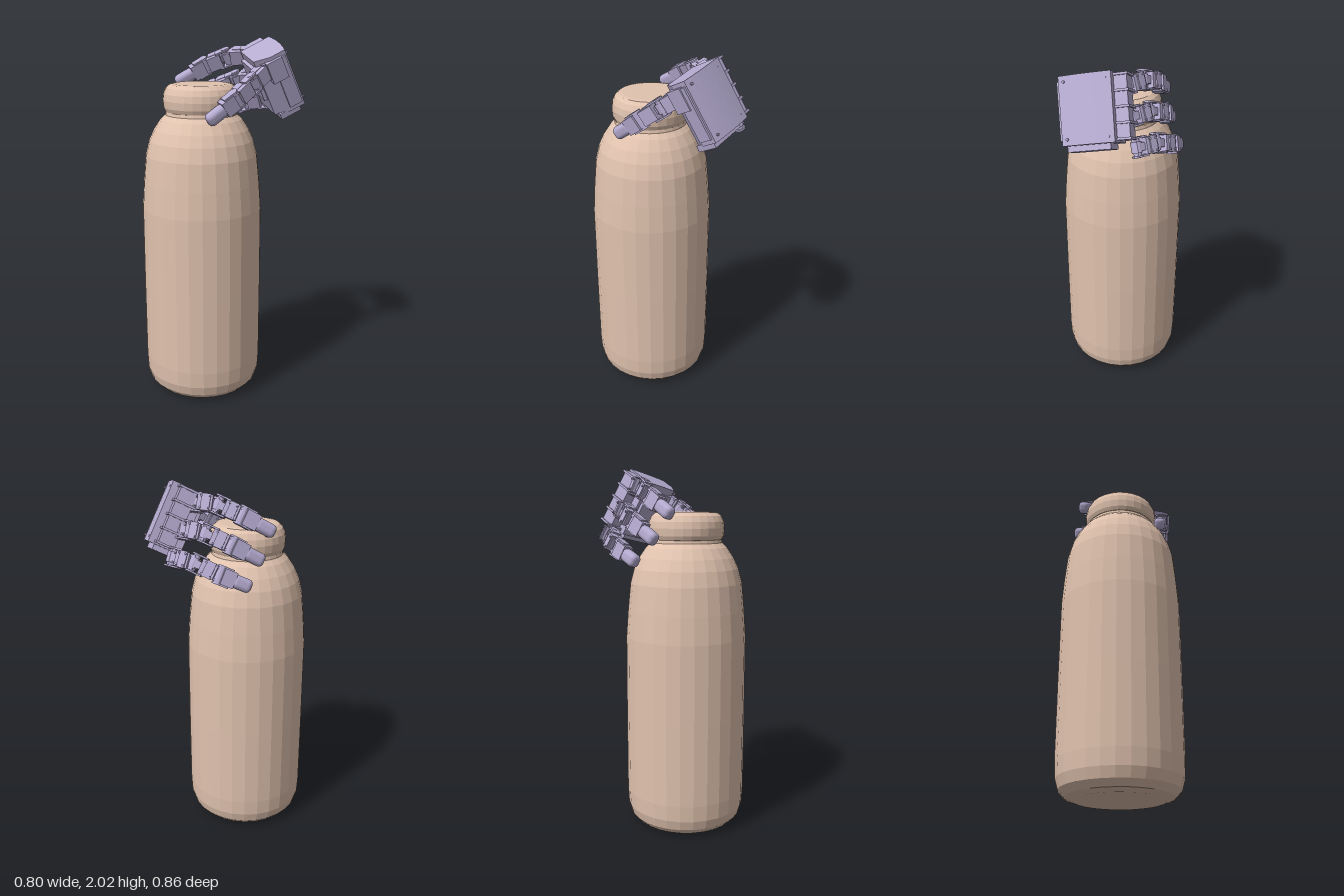
import * as THREE from 'three';
import { RoundedBoxGeometry } from 'three/addons/geometries/RoundedBoxGeometry.js';

const V = (x, y, z) => new THREE.Vector3(x, y, z);
const bottleMat = new THREE.MeshStandardMaterial({ color: 0xe0c2ae, flatShading: true });
const handMat = new THREE.MeshStandardMaterial({ color: 0xb5abd0, flatShading: true });

function add(parent, name, geo, x = 0, y = 0, z = 0, mat = handMat) {
  const m = new THREE.Mesh(geo, mat);
  m.name = name;
  m.position.set(x, y, z);
  parent.add(m);
  return m;
}
const box = (a, b, c) => new THREE.BoxGeometry(a, b, c);

// Direction across the knuckles, shared by the palm and all hinges
const across = V(0.13, -0.87, -0.47).normalize();

// Group at a point with local x along dir, y across the hand, z towards the grip
function frame(name, origin, dir) {
  const x = dir.clone().normalize();
  const z = x.clone().cross(across).normalize();
  const y = z.clone().cross(x);
  const g = new THREE.Group();
  g.name = name;
  g.quaternion.setFromRotationMatrix(new THREE.Matrix4().makeBasis(x, y, z));
  g.position.copy(origin);
  return g;
}

function makeBottle() {
  const g = new THREE.Group();
  g.name = 'bottle';
  const lathe = (pts) => new THREE.LatheGeometry(pts.map(([r, y]) => new THREE.Vector2(r, y)), 28);
  add(g, 'bottleBody', lathe([
    [0, 0.005], [0.24, 0.005], [0.285, 0.02], [0.318, 0.055], [0.334, 0.11], [0.339, 0.2],
    [0.339, 0.65], [0.337, 1.1], [0.326, 1.25], [0.311, 1.4], [0.29, 1.48], [0.262, 1.54],
    [0.225, 1.595], [0.198, 1.62], [0.19, 1.66],
  ]), 0, 0, 0, bottleMat);
  add(g, 'bottleCap', lathe([
    [0.17, 1.632], [0.197, 1.638], [0.207, 1.66], [0.211, 1.7], [0.206, 1.735],
    [0.192, 1.765], [0.172, 1.782], [0.15, 1.786], [0, 1.786],
  ]), 0, 0, 0, bottleMat);
  g.position.set(-0.065, 0, 0.09);
  return g;
}

// One powered link: motor body between two hinge cheeks
function makeLink(name, a, b, w) {
  const d = b.clone().sub(a), L = d.length();
  const g = frame(name, a, d);
  add(g, 'motorBody', box(L * 0.58, w * 0.8, 0.072), L * 0.56, 0, -0.004);
  add(g, 'motorLid', box(L * 0.34, w * 0.86, 0.05), L * 0.6, 0, -0.022);
  add(g, 'linkSpine', box(L * 0.8, w * 0.4, 0.03), L * 0.42, 0, -0.012);
  add(g, 'hingePin', new THREE.CylinderGeometry(0.02, 0.02, w * 1.04, 12));
  add(g, 'hingeDrum', new THREE.CylinderGeometry(0.028, 0.028, w * 0.55, 12));
  for (const s of [-1, 1]) {
    add(g, 'hingeCheek', box(L * 0.48, 0.009, 0.052), L * 0.18, s * w * 0.46, 0);
    add(g, 'hingeBoss', new THREE.CylinderGeometry(0.03, 0.03, 0.009, 12), 0, s * w * 0.46, 0);
    add(g, 'forkArm', box(L * 0.26, 0.012, 0.045), L * 0.92, s * w * 0.32, 0);
    for (const x of [0.42, 0.7]) {
      const screw = add(g, 'screw', new THREE.CylinderGeometry(0.006, 0.006, 0.008, 8), L * x, s * w * 0.3, -0.049);
      screw.rotation.x = Math.PI / 2;
    }
  }
  return g;
}

// Last link: narrow hinge mount and rounded pad
function makeTip(a, b, w) {
  const d = b.clone().sub(a), L = d.length();
  const g = frame('fingertip', a, d);
  add(g, 'tipMount', box(L * 0.42, w * 0.85, 0.065), L * 0.26, 0, 0);
  add(g, 'fingerPad', new RoundedBoxGeometry(L * 0.66, w * 0.72, 0.066, 3, 0.026), L * 0.72, 0, 0);
  add(g, 'hingePin', new THREE.CylinderGeometry(0.024, 0.024, w, 12));
  for (const s of [-1, 1]) {
    add(g, 'hingeCheek', box(L * 0.4, 0.009, 0.05), L * 0.14, s * w * 0.46, 0);
    add(g, 'hingeBoss', new THREE.CylinderGeometry(0.029, 0.029, 0.009, 12), 0, s * w * 0.46, 0);
  }
  return g;
}

function makeFinger(name, points, w) {
  const g = new THREE.Group();
  g.name = name;
  const p = points.map((q) => V(...q));
  const last = p.length - 2;
  for (let i = 0; i < last; i++) g.add(makeLink('fingerLink', p[i], p[i + 1], w));
  g.add(makeTip(p[last], p[last + 1], w));
  return g;
}

// Local frame: x towards the fingers, y across, z towards the grip; origin at the upper wrist corner
function makePalm() {
  const g = frame('palm', V(0.36, 1.975, -0.096), V(-0.79, 0.2, -0.58));
  const L = 0.27, W = 0.335;

  // Shell with a slightly bowed back and chamfered lower side
  const s = new THREE.Shape();
  s.moveTo(0, 0.012);
  s.quadraticCurveTo(L / 2, -0.016, L, 0);
  s.lineTo(L, 0.18);
  s.lineTo(0.05, 0.18);
  s.lineTo(0, 0.1);
  s.closePath();
  const shell = new THREE.ExtrudeGeometry(s, { depth: W, bevelEnabled: false, curveSegments: 6 });
  // Shape plane becomes x-z, extrusion runs along y
  shell.rotateX(Math.PI / 2);
  shell.scale(1, 1, 1);
  shell.translate(0, W, 0);
  add(g, 'palmShell', shell);

  add(g, 'lowerCover', box(0.22, 0.035, 0.12), 0.125, W + 0.012, 0.1);
  add(g, 'wristPlate', box(0.02, W * 0.85, 0.075), -0.002, W / 2, 0.06);
  add(g, 'knuckleBar', box(0.09, W * 0.94, 0.09), L + 0.02, W / 2, 0.085);
  add(g, 'gripPad', box(0.18, W * 0.6, 0.03), 0.16, W * 0.42, 0.185);
  // Dividers between the knuckles
  for (let i = 0; i < 5; i++) {
    add(g, 'knuckleRib', box(0.075, 0.012, 0.12), L + 0.035, 0.015 + i * (W - 0.03) / 4, 0.09);
  }
  // Screws on the back of the hand
  for (const x of [0.03, L - 0.03]) for (const y of [0.03, W - 0.03]) {
    const screw = add(g, 'screw', new THREE.CylinderGeometry(0.007, 0.007, 0.012, 8), x, y, 0.002);
    screw.rotation.x = Math.PI / 2;
  }
  add(g, 'thumbMount', box(0.12, 0.12, 0.09), 0.04, 0.08, 0.09);
  return g;
}

export function createModel() {
  const model = new THREE.Group();
  model.name = 'robotHandOnBottle';
  model.add(makeBottle());

  const hand = new THREE.Group();
  hand.name = 'robotHand';
  hand.add(makePalm());
  hand.add(makeFinger('upperFinger',
    [[0.06, 1.925, -0.215], [-0.065, 1.915, -0.155], [-0.175, 1.865, -0.095], [-0.285, 1.775, 0.025]], 0.1));
  hand.add(makeFinger('middleFinger',
    [[0.06, 1.795, -0.295], [-0.06, 1.785, -0.25], [-0.18, 1.73, -0.185], [-0.28, 1.64, -0.06]], 0.1));
  hand.add(makeFinger('lowerFinger',
    [[0.06, 1.665, -0.37], [-0.06, 1.65, -0.335], [-0.18, 1.595, -0.275], [-0.28, 1.525, -0.16]], 0.1));
  hand.add(makeFinger('thumb',
    [[0.27, 1.885, -0.1], [0.235, 1.8, 0.02], [0.2, 1.72, 0.13], [0.115, 1.615, 0.255]], 0.1));
  model.add(hand);
  return model;
}
